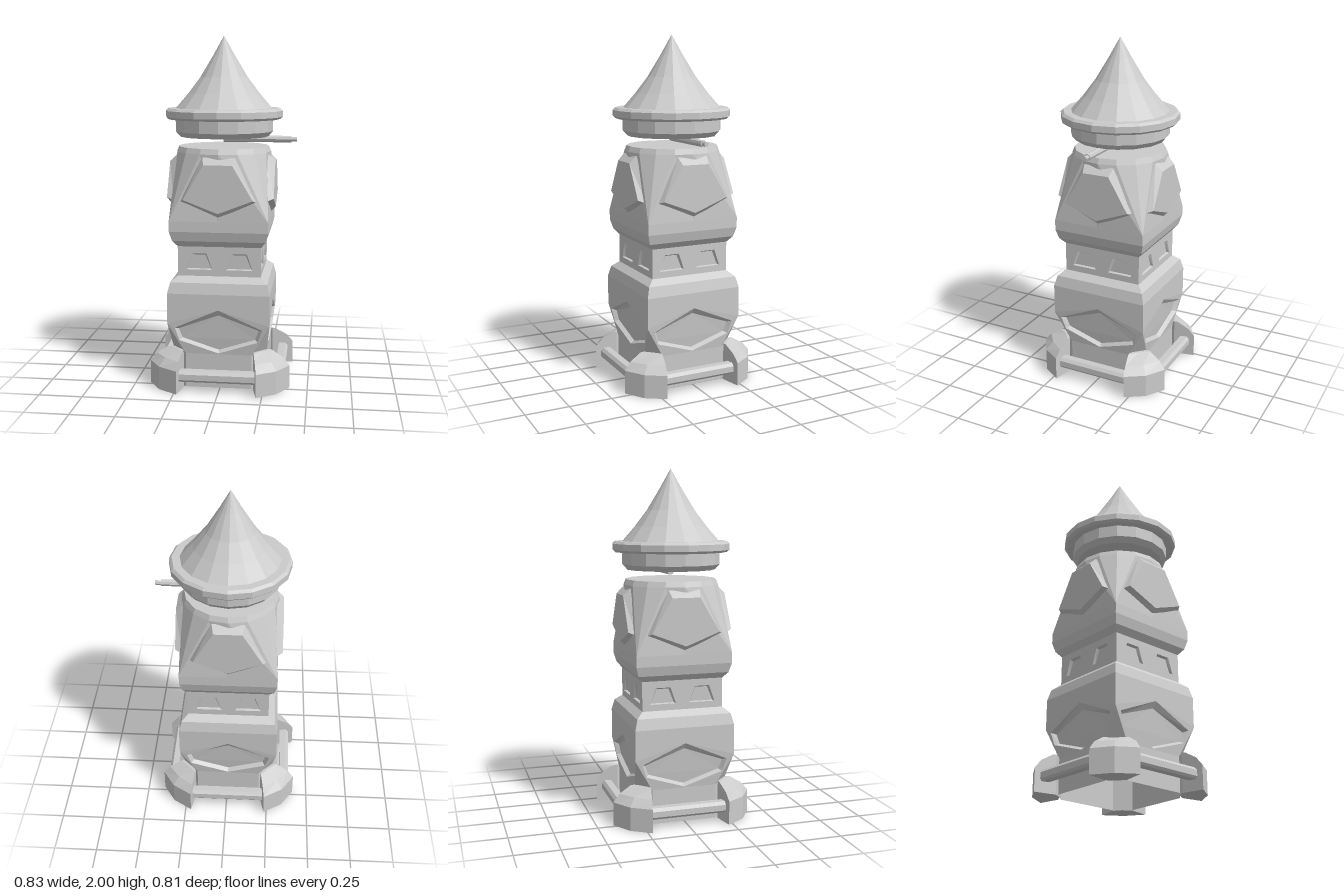
import * as THREE from 'three';
import { mergeGeometries } from 'three/addons/utils/BufferGeometryUtils.js';

const grey = new THREE.MeshStandardMaterial({ color: 0xcccccc, flatShading: true, side: THREE.DoubleSide });

function fromTriangles(tris) {
  const g = new THREE.BufferGeometry();
  g.setAttribute('position', new THREE.Float32BufferAttribute(tris.flat(2), 3));
  g.computeVertexNormals();
  return g;
}

// Skin a list of closed cross-sections, optionally closing the ends
function loft(rings, capStart, capEnd) {
  const tris = [], n = rings[0].length;
  for (let s = 0; s < rings.length - 1; s++) {
    for (let i = 0; i < n; i++) {
      const j = (i + 1) % n, a = rings[s], b = rings[s + 1];
      tris.push([a[i], b[i], b[j]], [a[i], b[j], a[j]]);
    }
  }
  const first = rings[0], last = rings[rings.length - 1];
  for (let i = 1; i < n - 1; i++) {
    if (capStart) tris.push([first[0], first[i], first[i + 1]]);
    if (capEnd) tris.push([last[0], last[i + 1], last[i]]);
  }
  return fromTriangles(tris);
}

// 16-point rings: three points share each corner of the square
function squareRing(h, y) {
  return Array.from({ length: 16 }, (_, k) => {
    const a = k % 4 ? (Math.floor(k / 4) + 0.5) * Math.PI / 2 : k * Math.PI / 8;
    const r = k % 4 ? h * Math.SQRT2 : h;
    return [r * Math.cos(a), y, r * Math.sin(a)];
  });
}
function roundRing(r, y) {
  return Array.from({ length: 16 }, (_, k) => [r * Math.cos(k * Math.PI / 8), y, r * Math.sin(k * Math.PI / 8)]);
}

const toShape = (pts) => new THREE.Shape(pts.map(([x, y]) => new THREE.Vector2(x, y)));

// Flat plate at depth z with holes
function plate(outline, holes, z) {
  const shape = toShape(outline);
  holes.forEach((h) => shape.holes.push(toShape(h)));
  return new THREE.ShapeGeometry(shape).translate(0, 0, z).toNonIndexed();
}

// Raised or sunken panel: sloped border plus flat centre
function panel(outer, inner, zOuter, zInner) {
  const tris = [], n = outer.length;
  for (let i = 0; i < n; i++) {
    const j = (i + 1) % n;
    const a = [...outer[i], zOuter], b = [...outer[j], zOuter];
    const c = [...inner[j], zInner], d = [...inner[i], zInner];
    tris.push([a, b, c], [a, c, d]);
  }
  const border = fromTriangles(tris), centre = plate(inner, [], zInner);
  centre.deleteAttribute('uv');
  return mergeGeometries([border, centre]);
}

function add(parent, name, geometry) {
  const mesh = new THREE.Mesh(geometry, grey);
  mesh.name = name;
  parent.add(mesh);
  return mesh;
}

// The lower wall leans inward below its corner points
function lean(g) {
  const p = g.attributes.position;
  for (let i = 0; i < p.count; i++) {
    const t = Math.min(1, Math.max(0, (0.38 - p.getY(i)) / 0.18));
    p.setZ(i, p.getZ(i) - 0.022 * t);
  }
  g.computeVertexNormals();
  return g;
}

// Everything that repeats on each of the four sides
function buildSide(side) {
  // lower wall with a sunken hexagon
  const hexOuter = [[0, 0.465], [-0.25, 0.355], [-0.225, 0.28], [0, 0.205], [0.225, 0.28], [0.25, 0.355]];
  const hexInner = [[0, 0.43], [-0.23, 0.345], [-0.21, 0.29], [0, 0.22], [0.21, 0.29], [0.23, 0.345]];
  const wall = [[-0.19, 0.2], [0.19, 0.2], [0.292, 0.38], [0.292, 0.555], [-0.292, 0.555], [-0.292, 0.38]];
  add(side, 'lowerWall', lean(plate(wall, [hexOuter], 0.292)));
  add(side, 'lowerRecess', lean(panel(hexOuter, hexInner, 0.292, 0.267)));
  add(side, 'baseWall', lean(plate([[-0.19, 0], [0.19, 0], [0.19, 0.2], [-0.19, 0.2]], [], 0.292)));

  // waist wall with two sunken windows
  const win = (s, e) => [[s * 0.115 - 0.075 + e, 0.687 + e / 2], [s * 0.115 + 0.075 - e, 0.687 + e / 2],
    [s * 0.115 + 0.043 - e, 0.78 - e], [s * 0.115 - 0.043 + e, 0.78 - e]];
  add(side, 'waistWall', plate([[-0.237, 0.65], [0.237, 0.65], [0.237, 0.82], [-0.237, 0.82]],
    [win(-1, 0), win(1, 0)], 0.237));
  for (const s of [-1, 1]) add(side, 'waistWindow', panel(win(s, 0), win(s, 0.008), 0.237, 0.222));

  // raised shield panel
  const shieldOuter = [[0, 0.98], [0.22, 1.08], [0.09, 1.33], [-0.09, 1.33], [-0.22, 1.08]];
  const shieldInner = [[0, 1.02], [0.195, 1.095], [0.08, 1.29], [-0.08, 1.29], [-0.195, 1.095]];
  add(side, 'shieldPanel', panel(shieldOuter, shieldInner, 0.262, 0.304));

  // chamfered corner between neighbouring lower walls
  const apex = [0.292, 0.38, 0.292], a = [0.19, 0.2, 0.27], b = [0.27, 0.2, 0.19];
  const a0 = [0.19, 0, 0.27], b0 = [0.27, 0, 0.19];
  add(side, 'cornerChamfer', fromTriangles([[a, b, apex], [a0, b0, b], [a0, b, a]]));

  // foot wrapped round the corner
  const plan = [[0.225, 0.405, 0.2, 0.28], [0.335, 0.335, 0.23, 0.23], [0.405, 0.225, 0.28, 0.2]];
  const sections = plan.map(([ox, oz, ix, iz]) => {
    const at = (t, y) => [ox + (ix - ox) * t, y, oz + (iz - oz) * t];
    return [at(0, 0), at(0, 0.135), at(0.3, 0.18), at(0.85, 0.22), at(1, 0.22), at(1, 0)];
  });
  add(side, 'foot', loft(sections, true, true));

  // rail between the feet
  const rail = toShape([[0.32, 0.062], [0.365, 0.062], [0.375, 0.075], [0.375, 0.108], [0.36, 0.125], [0.32, 0.125]]);
  const railGeo = new THREE.ExtrudeGeometry(rail, { depth: 0.43, bevelEnabled: false });
  railGeo.translate(0, 0, -0.215).rotateY(-Math.PI / 2);
  add(side, 'rail', railGeo);
}

export function createModel() {
  const model = new THREE.Group();
  model.name = 'tower';
  const body = new THREE.Group();
  body.name = 'towerBody';
  body.position.x = -0.008;
  model.add(body);

  for (let i = 0; i < 4; i++) {
    const side = new THREE.Group();
    side.name = 'side';
    side.rotation.y = i * Math.PI / 2;
    buildSide(side);
    body.add(side);
  }

  // sloped shoulder above the lower walls
  add(body, 'shoulder', loft([squareRing(0.292, 0.555), squareRing(0.276, 0.617), squareRing(0.237, 0.65)]));

  // upper block, changing from square to round
  add(body, 'upperBlock', loft([squareRing(0.237, 0.82), squareRing(0.265, 0.855), squareRing(0.28, 0.91),
    squareRing(0.28, 0.97), roundRing(0.275, 1.345), roundRing(0.262, 1.375)], false, true));

  // floating head: collar, rim and flared roof
  add(body, 'collar', loft([roundRing(0.257, 1.43), roundRing(0.284, 1.46), roundRing(0.284, 1.53)], true, false));
  add(body, 'rim', loft([roundRing(0.284, 1.53), roundRing(0.325, 1.53), roundRing(0.34, 1.543),
    roundRing(0.34, 1.578), roundRing(0.325, 1.592), roundRing(0.28, 1.592)]));
  add(body, 'roof', loft([[0.28, 1.592], [0.26, 1.615], [0.208, 1.675], [0.138, 1.767], [0.063, 1.89], [0.001, 2]]
    .map(([r, y]) => roundRing(r, y))));

  // barrel in the gap under the head
  const barrel = new THREE.Group();
  barrel.name = 'barrel';
  barrel.position.y = 1.415;
  model.add(barrel);
  for (const [name, r, x0, x1] of [['barrelTube', 0.019, -0.01, 0.383], ['muzzle', 0.013, 0.383, 0.415]]) {
    const g = new THREE.CylinderGeometry(r, r, x1 - x0, 8);
    add(barrel, name, g.rotateZ(-Math.PI / 2).translate((x0 + x1) / 2, 0, 0));
  }
  return model;
}
